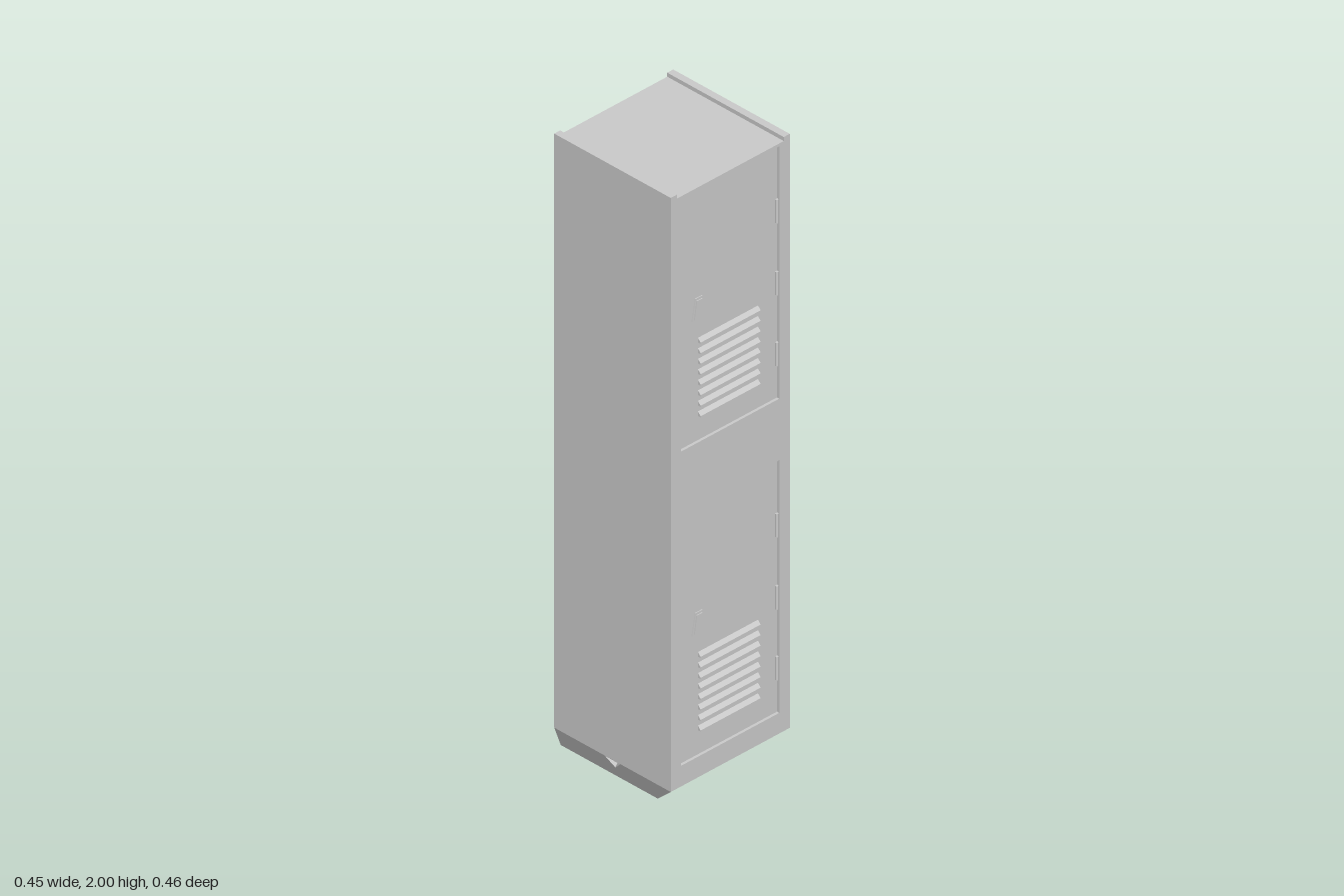
import * as THREE from 'three';

const material = new THREE.MeshStandardMaterial({ color: 0xcccccc, flatShading: true });
const W = 0.226, D = 0.228;          // half width (x) and half depth (z)
const LIP = 0.068, ROOF = 1.987;     // top of the tapered base, roof level
const BASE_X = 0.15, BASE_D = 0.203; // base footprint
const DOOR_X = 0.217;                // plane of the recessed doors

function add(parent, name, geometry, x = 0, y = 0, z = 0) {
  const mesh = new THREE.Mesh(geometry, material);
  mesh.name = name;
  mesh.position.set(x, y, z);
  parent.add(mesh);
  return mesh;
}

// Box given by its two extreme corners
function block(parent, name, a, b) {
  const size = a.map((v, i) => b[i] - v);
  const mid = a.map((v, i) => (b[i] + v) / 2);
  return add(parent, name, new THREE.BoxGeometry(...size), ...mid);
}

// Flat polygons, each a counter-clockwise ring of points
function polygons(rings) {
  const p = [];
  for (const r of rings)
    for (let i = 1; i < r.length - 1; i++) p.push(...r[0], ...r[i], ...r[i + 1]);
  const g = new THREE.BufferGeometry();
  g.setAttribute('position', new THREE.Float32BufferAttribute(p, 3));
  g.computeVertexNormals();
  return g;
}

// Extrude a (z, y) shape outward along +x
function outward(shape, depth) {
  const g = new THREE.ExtrudeGeometry(shape, { depth, bevelEnabled: false });
  g.rotateY(Math.PI / 2);            // shape x becomes -z, depth becomes +x
  return g;
}

function path(points, Type = THREE.Shape) {
  return new Type(points.map(([x, y]) => new THREE.Vector2(x, y)));
}

const rect = (x0, y0, x1, y1) => [[x0, y0], [x1, y0], [x1, y1], [x0, y1]];

// Tapered base: the door side and both flanks slope in, the rear is upright
function buildBase() {
  const base = new THREE.Group();
  base.name = 'base';
  const b = [[-W, 0, BASE_D], [BASE_X, 0, BASE_D], [BASE_X, 0, -BASE_D], [-W, 0, -BASE_D]];
  const t = [[-W, LIP, D], [W, LIP, D], [W, LIP, -D], [-W, LIP, -D]];
  add(base, 'baseShell', polygons([
    [b[3], b[2], b[1], b[0]],
    [b[1], b[2], t[2], t[1]],
    [b[3], b[0], t[0], t[3]],
  ]));

  // Sloping flank with a small triangular dent under the lip
  const slopeZ = (y) => BASE_D + (D - BASE_D) * y / LIP;
  const dent = [[-0.03, LIP - 0.001], [0, 0.038], [0.03, LIP - 0.001]];
  const flank = path([[-W, 0], [BASE_X, 0], [W, LIP], [-W, LIP]]);
  flank.holes.push(path(dent, THREE.Path));
  const slope = new THREE.ShapeGeometry(flank);
  const pos = slope.attributes.position;
  for (let i = 0; i < pos.count; i++) pos.setZ(i, slopeZ(pos.getY(i)));
  slope.computeVertexNormals();

  const [l, m, r] = dent.map(([x, y]) => [x, y, slopeZ(y)]);
  const deep = [0, 0.058, BASE_D];
  const hollow = polygons([[l, m, deep], [m, r, deep], [r, l, deep]]);

  for (const side of [1, -1]) {
    const half = new THREE.Group();
    half.name = side > 0 ? 'frontFlank' : 'backFlank';
    half.scale.z = side;
    add(half, 'slope', slope);
    add(half, 'dent', hollow);
    base.add(half);
  }
  return base;
}

// Recessed door fittings; y0 is the bottom of the door
function buildDoor(name, y0) {
  const door = new THREE.Group();
  door.name = name;
  door.position.set(DOOR_X, y0, 0);

  // Louvre hoods: wedges open towards the floor
  const hood = new THREE.ExtrudeGeometry(
    path([[-0.001, 0], [0.0105, 0], [0.0105, 0.004], [-0.001, 0.016]]),
    { depth: 0.23, bevelEnabled: false });
  for (let i = 0; i < 8; i++) add(door, 'louvre', hood, 0, 0.078 + i * 0.0342, -0.115);

  // Latch: tapered plate with a raised finger grip
  add(door, 'latchPlate',
    outward(path([[-0.14, 0.395], [-0.127, 0.465], [-0.1, 0.465], [-0.086, 0.395]]), 0.003));
  add(door, 'latchGrip',
    outward(path([[-0.133, 0.4], [-0.124, 0.458], [-0.103, 0.458], [-0.093, 0.4]]), 0.006));

  // Three hinge knuckles
  const hinge = new THREE.CylinderGeometry(0.005, 0.005, 0.076, 8);
  for (const y of [0.145, 0.375, 0.61]) add(door, 'hinge', hinge, 0.003, y, -0.184);
  return door;
}

export function createModel() {
  const locker = new THREE.Group();
  locker.name = 'locker';

  // Cabinet, ending at the plane of the doors
  block(locker, 'cabinet', [-W, LIP, -D], [DOOR_X, ROOF, D]);

  // Door frame with two openings
  const frame = path(rect(-D, LIP, D, ROOF));
  for (const [y0, y1] of [[0.135, 0.957], [1.157, 1.978]])
    frame.holes.push(path(rect(-0.188, y0, 0.188, y1), THREE.Path));
  add(locker, 'doorFrame', outward(frame, W - DOOR_X + 0.002), DOOR_X - 0.002);

  // Raised lips along both edges of the roof
  for (const s of [1, -1])
    block(locker, 'roofLip', [-W, ROOF - 0.004, s > 0 ? 0.205 : -D], [W, 2, s > 0 ? D : -0.205]);

  locker.add(buildBase());
  locker.add(buildDoor('lowerDoor', 0.135), buildDoor('upperDoor', 1.157));
  return locker;
}
